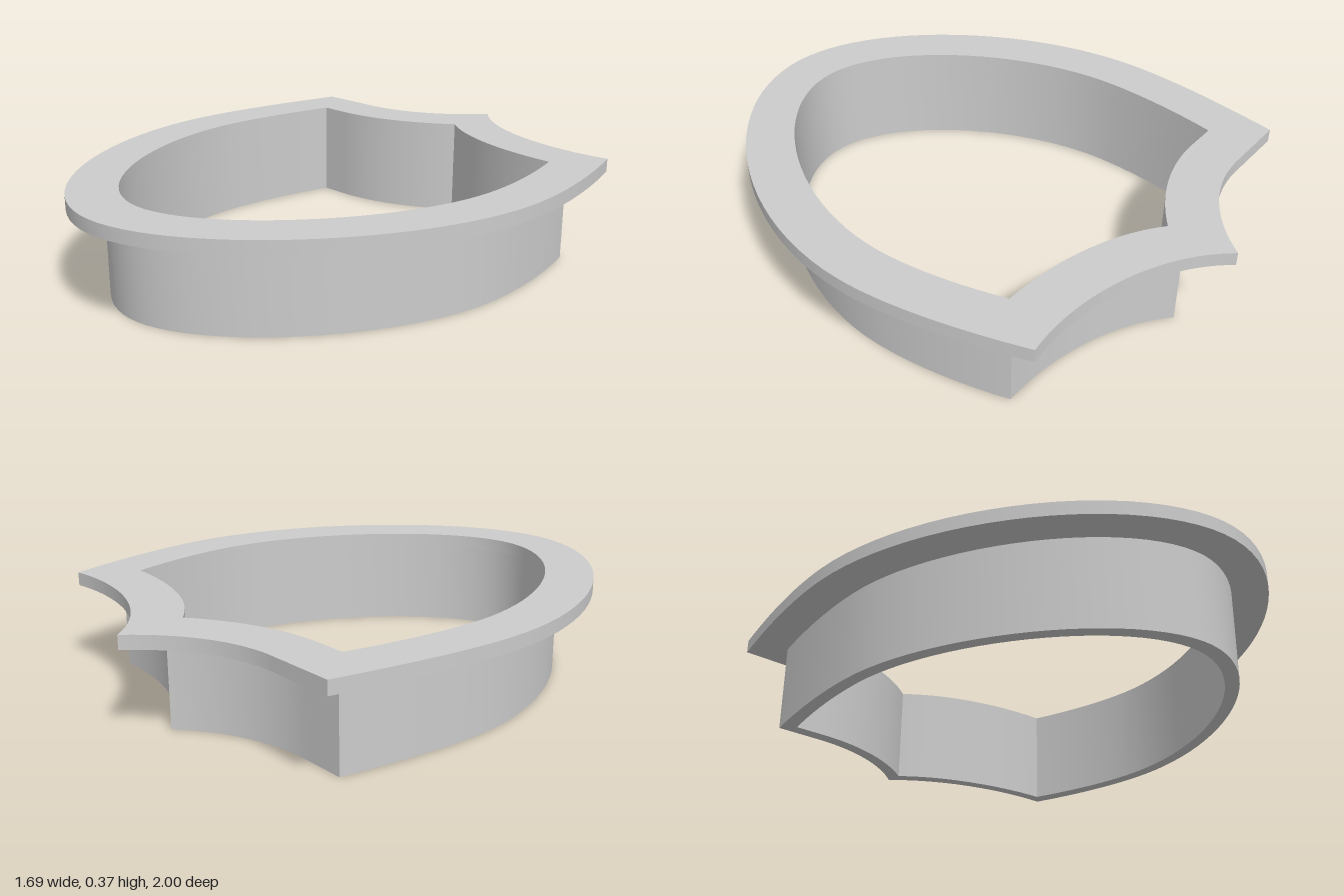
import * as THREE from 'three';
import { toCreasedNormals } from 'three/addons/utils/BufferGeometryUtils.js';

// Shield outline in x/z. Each row: two control points, then the end point.
function trace(start, curves, path) {
  path.moveTo(...start);
  for (const c of curves) path.bezierCurveTo(...c);
  return path;
}

// Wide outer edge of the flange
const RIM = [[-0.757, -0.753], [
  [-0.80, -0.55, -0.845, -0.30, -0.845, -0.10],
  [-0.845, 0.44, -0.42, 1.0, -0.02, 1.0],
  [0.39, 1.0, 0.845, 0.44, 0.845, -0.10],
  [0.845, -0.30, 0.78, -0.55, 0.71, -0.753],
  [0.45, -0.71, 0.12, -0.80, -0.04, -1.0],
  [-0.16, -0.84, -0.33, -0.753, -0.50, -0.753],
  [-0.58, -0.753, -0.67, -0.753, -0.757, -0.753],
]];

// Outer face of the wall
const WALL = [[-0.655, -0.627], [
  [-0.69, -0.45, -0.715, -0.27, -0.715, -0.10],
  [-0.715, 0.35, -0.35, 0.875, -0.015, 0.875],
  [0.32, 0.875, 0.715, 0.35, 0.715, -0.10],
  [0.715, -0.27, 0.68, -0.45, 0.63, -0.61],
  [0.38, -0.60, 0.14, -0.67, -0.022, -0.82],
  [-0.16, -0.69, -0.33, -0.627, -0.49, -0.627],
  [-0.54, -0.627, -0.60, -0.627, -0.655, -0.627],
]];

// Opening shared by flange and wall
const OPENING = [[-0.61, -0.576], [
  [-0.645, -0.42, -0.667, -0.25, -0.667, -0.10],
  [-0.667, 0.33, -0.33, 0.82, -0.015, 0.82],
  [0.30, 0.82, 0.667, 0.33, 0.667, -0.10],
  [0.667, -0.25, 0.63, -0.42, 0.585, -0.563],
  [0.36, -0.565, 0.13, -0.625, -0.02, -0.754],
  [-0.15, -0.647, -0.32, -0.576, -0.49, -0.576],
  [-0.53, -0.576, -0.57, -0.576, -0.61, -0.576],
]];

// Extrude a ring between an outline and the opening, from bottom to top
function ring(name, outline, bottom, top, material) {
  const shape = trace(...outline, new THREE.Shape());
  // The hole runs against the outline so that its walls face inward
  const hole = trace(...OPENING, new THREE.Path()).getPoints(24).reverse();
  shape.holes.push(new THREE.Path(hole));
  const geometry = new THREE.ExtrudeGeometry(shape, {
    depth: top - bottom, bevelEnabled: false, curveSegments: 24,
  });
  geometry.rotateX(Math.PI / 2).translate(0, top, 0);
  const mesh = new THREE.Mesh(toCreasedNormals(geometry, 0.4), material);
  mesh.name = name;
  return mesh;
}

export function createModel() {
  const grey = new THREE.MeshStandardMaterial({ color: 0xcccccc });
  grey.name = 'light grey';
  const group = new THREE.Group();
  group.name = 'shieldCutter';
  group.add(
    ring('wall', WALL, 0, 0.323, grey),
    ring('flange', RIM, 0.323, 0.372, grey),
  );
  return group;
}
